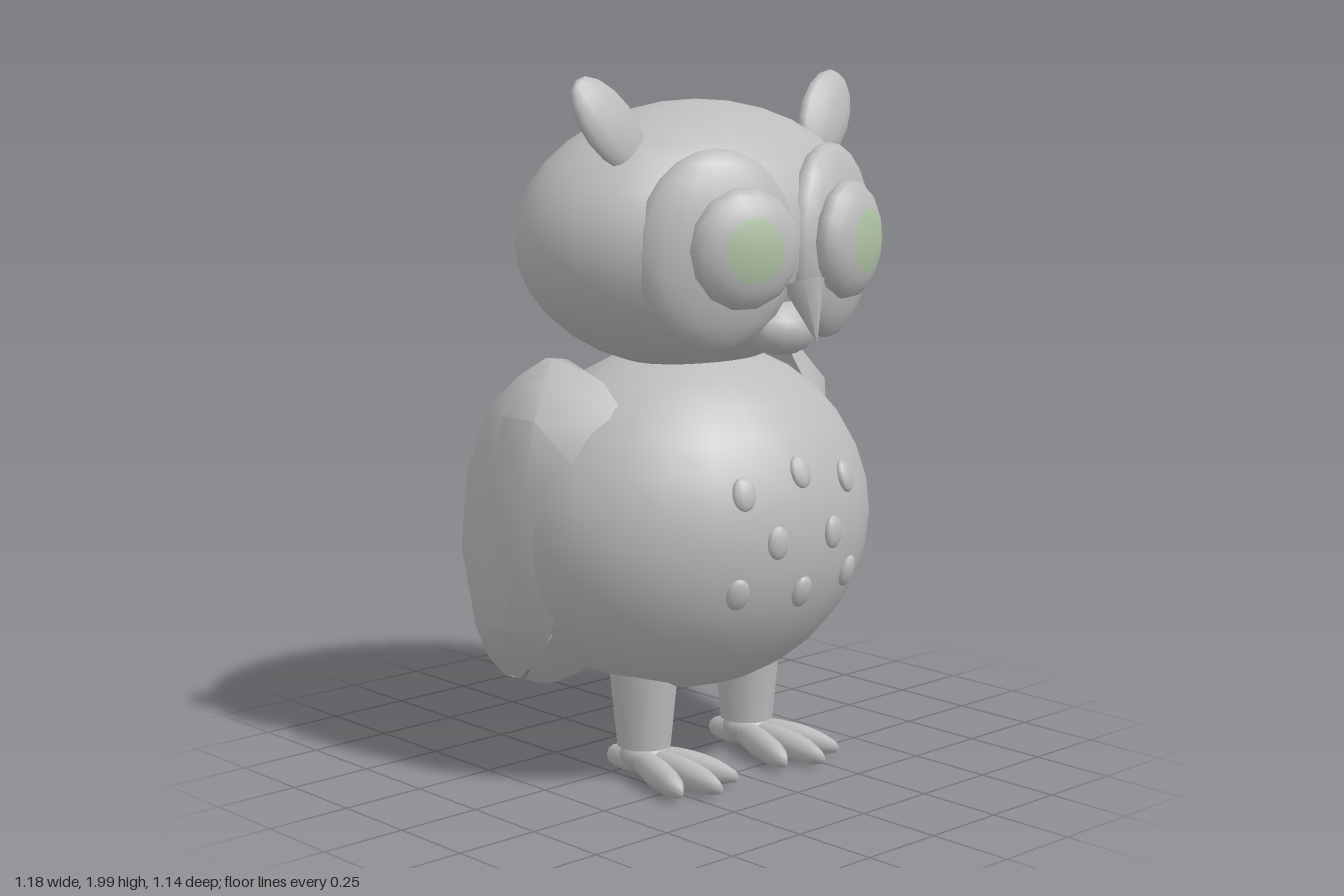
import * as THREE from 'three';
import { toCreasedNormals } from 'three/addons/utils/BufferGeometryUtils.js';

const grey = new THREE.MeshStandardMaterial({ color: 0xbcbcbc, name: 'plumage grey' });
const green = new THREE.MeshStandardMaterial({ color: 0xafc3a5, name: 'pupil green' });

export function createModel() {
  const model = new THREE.Group();
  model.name = 'owl';

  const add = (name, geometry, pos = [0, 0, 0], rot = [0, 0, 0], material = grey) => {
    const mesh = new THREE.Mesh(geometry, material);
    mesh.name = name;
    mesh.position.set(...pos);
    mesh.rotation.set(...rot);
    model.add(mesh);
    return mesh;
  };
  const ellipsoid = (r, w = 16, h = 10) => new THREE.SphereGeometry(1, w, h).scale(...r);

  // Skin a closed solid through rings of equal point count
  const loft = (rings, flip = false) => {
    const n = rings[0].length, last = (rings.length - 1) * n, index = [];
    const tri = (a, b, c) => index.push(...(flip ? [a, c, b] : [a, b, c]));
    for (let i = 0; i < rings.length - 1; i++) {
      for (let j = 0; j < n; j++) {
        const a = i * n + j, b = i * n + (j + 1) % n;
        tri(a, b, b + n);
        tri(a, b + n, a + n);
      }
    }
    for (let j = 1; j < n - 1; j++) {
      tri(0, j + 1, j);
      tri(last, last + j, last + j + 1);
    }
    const g = new THREE.BufferGeometry();
    g.setAttribute('position', new THREE.Float32BufferAttribute(rings.flat(2), 3));
    g.setIndex(index);
    return toCreasedNormals(g, 0.75);
  };

  // Body and head
  const bodyC = new THREE.Vector3(0, 0.74, 0.05), bodyR = new THREE.Vector3(0.567, 0.5, 0.482);
  add('body', ellipsoid(bodyR.toArray(), 24, 16), bodyC.toArray());
  add('head', ellipsoid([0.567, 0.375, 0.405], 24, 16), [0, 1.545, 0.08]);

  // Speckles set on the body, facing along its normal
  const speckle = (x, y, side) => {
    const u = (x - bodyC.x) / bodyR.x, v = (y - bodyC.y) / bodyR.y;
    const w = side * Math.sqrt(1 - u * u - v * v);
    const normal = new THREE.Vector3(u / bodyR.x, v / bodyR.y, w / bodyR.z).normalize();
    const mesh = add(side > 0 ? 'chestSpeckle' : 'backSpeckle', ellipsoid([0.035, 0.047, 0.017], 10, 8),
      [x, y, bodyC.z + w * bodyR.z]);
    mesh.lookAt(mesh.position.clone().add(normal));
  };
  [[0, 0.92], [0, 0.585]].forEach(([x, y]) => speckle(x, y, 1));
  speckle(0, 1.0, -1);

  // Wing rows from the tip up: y, front z, back z, x at front, middle and back
  const wingRows = [
    [0.28, -0.19, -0.28, 0.43, 0.44, 0.42],
    [0.35, -0.09, -0.31, 0.45, 0.51, 0.43],
    [0.46, 0.02, -0.32, 0.49, 0.58, 0.47],
    [0.66, 0.13, -0.31, 0.51, 0.59, 0.54],
    [0.88, 0.17, -0.27, 0.46, 0.592, 0.55],
    [1.07, 0.19, -0.21, 0.36, 0.58, 0.52],
    [1.16, 0.11, -0.14, 0.37, 0.51, 0.47],
    [1.22, 0.02, -0.05, 0.42, 0.45, 0.44],
  ];
  const wingRing = (s) => ([y, zf, zb, xf, xm, xb]) => {
    const at = (t) => zf + (zb - zf) * t;
    const t = y < 0.3 || y > 1.2 ? 0.02 : 0.065;
    return [[xf, at(0)], [xm - 0.01, at(0.35)], [xm, at(0.65)], [xb, at(1)],
      [xm - t, at(0.7)], [xm - t - 0.01, at(0.35)]].map(([x, z]) => [s * x, y, z]);
  };

  for (const s of [1, -1]) {
    [[0.198, 0.88], [0.108, 0.74], [0.215, 0.605]].forEach(([x, y]) => speckle(s * x, y, 1));
    [[0.165, 0.96], [0.085, 0.84]].forEach(([x, y]) => speckle(s * x, y, -1));

    add('wing', loft(wingRows.map(wingRing(s)), s < 0));

    // Eye: facial disc, eyeball and thin pupil cap
    add('facialDisc', ellipsoid([0.235, 0.272, 0.09], 18, 12).rotateX(0),
      [s * 0.215, 1.532, 0.39], [0, s * 0.35, 0]);
    const eye = (g, k) => g.rotateX(Math.PI / 2).scale(0.16 * k, 0.165 * k, 0.072 * k);
    const eyePos = [s * 0.2, 1.542, 0.482], eyeRot = [0, s * 0.3, 0];
    add('eyeball', eye(new THREE.SphereGeometry(1, 14, 12), 1), eyePos, eyeRot);
    add('pupil', eye(new THREE.SphereGeometry(1, 14, 4, 0, Math.PI * 2, 0, 0.55), 1.025), eyePos, eyeRot, green);

    // Ear tuft
    add('earTuft', ellipsoid([0.09, 0.15, 0.038], 12, 8), [s * 0.415, 1.865, 0.185],
      [-0.26, 0, -s * 0.62]);

    // Leg and foot
    add('leg', new THREE.CylinderGeometry(0.108, 0.078, 0.3, 12), [s * 0.205, 0.25, 0.09]);
    add('ankle', ellipsoid([0.07, 0.05, 0.075], 10, 8), [s * 0.205, 0.075, 0.09]);
    for (const k of [-1, 0, 1]) {
      add('frontToe', ellipsoid([0.037, 0.043, 0.165], 8, 8),
        [s * 0.205 + k * 0.06, 0.053, k ? 0.21 : 0.25], [0.08, k * 0.3, 0]);
    }
    add('backToe', ellipsoid([0.038, 0.04, 0.1], 8, 8), [s * 0.205, 0.048, 0.03], [-0.1, 0, 0]);
  }

  // Bill
  add('upperBill', new THREE.ConeGeometry(0.058, 0.17, 8), [0, 1.36, 0.532], [2.83, 0, 0]);
  add('lowerBill', ellipsoid([0.115, 0.075, 0.08], 12, 8), [0, 1.31, 0.43]);

  // Tail blade, lofted along its slope: distance, half width, half thickness
  const tailRows = [[0, 0.13, 0.03], [0.12, 0.17, 0.036], [0.25, 0.178, 0.036],
    [0.4, 0.14, 0.028], [0.46, 0.05, 0.012]];
  add('tail', loft(tailRows.map(([d, w, t]) =>
    [[w, -0.3], [0.5 * w, -1], [-0.5 * w, -1], [-w, -0.3], [-0.6 * w, 0.7], [0, 1], [0.6 * w, 0.7]]
      .map(([x, h]) => [x, 0.45 - 0.72 * d + 0.69 * h * t, -0.245 - 0.69 * d - 0.72 * h * t]))));

  return model;
}
